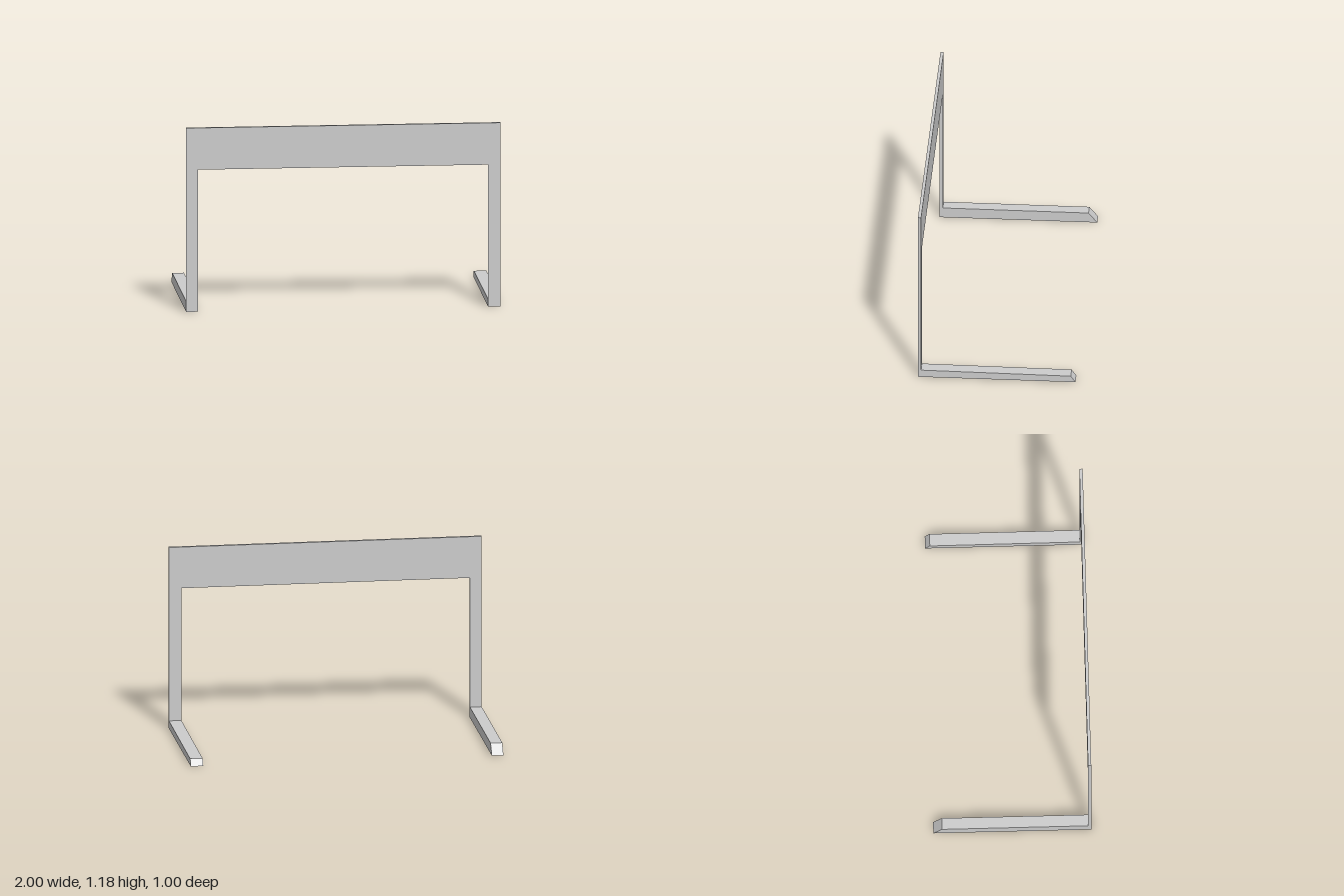
import * as THREE from 'three';

const material = new THREE.MeshStandardMaterial({ color: 0xcccccc, flatShading: true });

function extrude(points, depth) {
  const shape = new THREE.Shape(points.map(([x, y]) => new THREE.Vector2(x, y)));
  return new THREE.ExtrudeGeometry(shape, { depth, bevelEnabled: false });
}

// Foot bar with a slanted rear tip; side profile given as [z, y]
function makeFoot(name, x0, x1, profile) {
  const geometry = extrude(profile.map(([z, y]) => [-z, y]), x1 - x0);
  geometry.rotateY(Math.PI / 2); // profile into the z-y plane, depth along +x
  geometry.translate(x0, 0, 0);
  const foot = new THREE.Mesh(geometry, material);
  foot.name = name;
  return foot;
}

export function createModel() {
  const group = new THREE.Group();
  group.name = 'hurdle';
  const innerRight = -0.925, innerLeft = 0.92;

  // Upright frame: two posts and a broad top board in one flat sheet
  const frame = new THREE.Mesh(extrude([
    [-1, 0], [innerRight, 0], [innerRight, 0.915], [innerLeft, 0.915],
    [innerLeft, 0], [1, 0], [1, 1.184], [-1, 1.184],
  ], 0.02), material);
  frame.name = 'frame';
  frame.position.z = 0.48;
  group.add(frame);

  // Feet reaching backwards; the right one is a little taller
  group.add(makeFoot('rightFoot', -1, innerRight,
    [[0.48, 0], [-0.5, 0.004], [-0.445, 0.072], [0.48, 0.069]]));
  group.add(makeFoot('leftFoot', innerLeft, 1,
    [[0.48, 0], [-0.5, 0.004], [-0.47, 0.047], [0.48, 0.05]]));

  return group;
}
